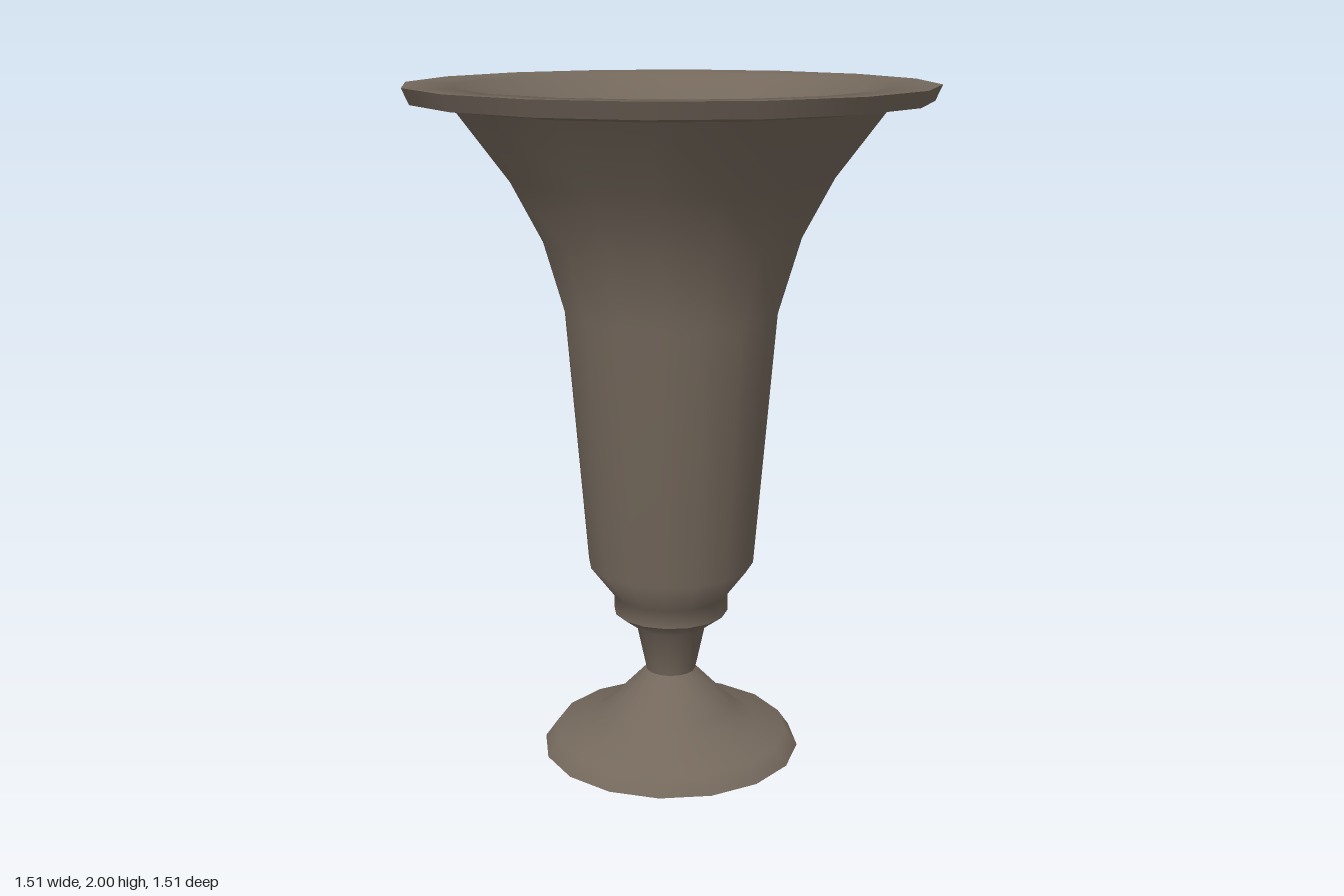
import * as THREE from 'three';

const SIDES = 16;

export function createModel() {
  const group = new THREE.Group();
  const stone = new THREE.MeshStandardMaterial({ color: 0x74685c });
  stone.name = 'brown stone';

  // Each turned section is smooth inside; edges between sections stay sharp.
  const turn = (name, profile) => {
    const points = profile.map(([r, y]) => new THREE.Vector2(r, y));
    const mesh = new THREE.Mesh(new THREE.LatheGeometry(points, SIDES), stone);
    mesh.name = name;
    group.add(mesh);
  };

  // Foot
  turn('footUnderside', [[0, 0], [0.39, 0]]);
  turn('foot', [[0.39, 0], [0.355, 0.05], [0.265, 0.07], [0.19, 0.125], [0.075, 0.245]]);

  // Stem flaring out to the collar
  turn('stem', [[0.075, 0.245], [0.105, 0.385], [0.172, 0.435]]);

  // Collar and flared body
  turn('body', [
    [0.172, 0.435], [0.172, 0.49], [0.248, 0.59], [0.31, 1.35],
    [0.375, 1.57], [0.465, 1.74], [0.615, 1.94],
  ]);

  // Overhanging rim
  turn('rimUnderside', [[0.615, 1.94], [0.735, 1.955]]);
  turn('rimEdge', [[0.735, 1.955], [0.755, 2]]);

  // Lip rolling into the hollow, closed by a flat floor
  turn('innerWall', [[0.755, 2], [0.61, 1.995], [0.44, 1.78], [0.335, 1.55]]);
  turn('innerFloor', [[0.335, 1.55], [0, 1.55]]);

  return group;
}
